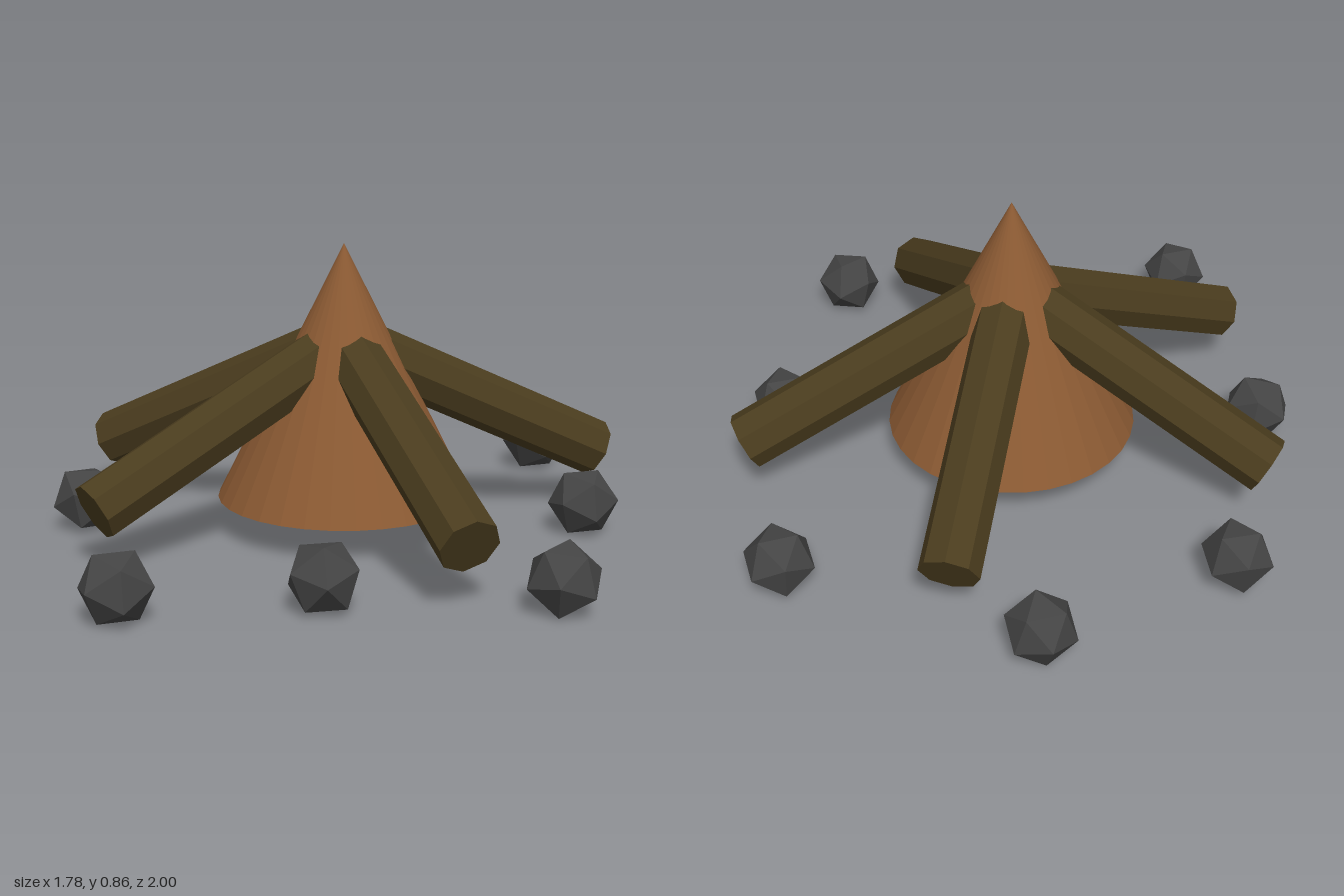
import * as THREE from 'three';

const mat = (name, color) => {
  const m = new THREE.MeshStandardMaterial({ color, flatShading: true });
  m.name = name;
  return m;
};

const CENTRE = [-0.01, 0.005];   // x, z of the fire's middle
const TILT = 0.44;               // slope of every log

// Twenty-sided stone lying with one face up and a corner towards +x
function stoneGeometry(radius) {
  const g = new THREE.IcosahedronGeometry(radius, 0);
  const t = (1 + Math.sqrt(5)) / 2;
  const up = new THREE.Vector3(1, 1, 1).normalize();
  const side = new THREE.Vector3(t, 0, -1).projectOnPlane(up).normalize();
  const front = new THREE.Vector3().crossVectors(side, up);
  return g.applyMatrix4(new THREE.Matrix4().makeBasis(side, up, front).transpose());
}

export function createModel() {
  const model = new THREE.Group();
  model.name = 'campfire';
  const flameMat = mat('orangeBrown', 0x8b5a33);
  const logMat = mat('darkWood', 0x4a3c1e);
  const stoneMat = mat('charcoalGrey', 0x444444);

  // Central cone
  const cone = new THREE.Mesh(new THREE.ConeGeometry(0.38, 0.76, 32), flameMat);
  cone.name = 'centralCone';
  cone.position.set(CENTRE[0], 0.48, CENTRE[1]);
  model.add(cone);

  // Leaning logs: built along +x from the cone to the ground, then turned
  const inner = new THREE.Vector2(0.09, 0.525);
  const outer = new THREE.Vector2(0.825, 0.18);
  const logGeo = new THREE.CylinderGeometry(0.087, 0.087, inner.distanceTo(outer), 8);
  logGeo.rotateZ(Math.PI / 2 - TILT);
  logGeo.translate((inner.x + outer.x) / 2, (inner.y + outer.y) / 2, 0);
  [0, 61.5, 138.2, 197.2, 276.5].forEach((deg, i) => {
    const log = new THREE.Mesh(logGeo, logMat);
    log.name = `log${i + 1}`;
    log.position.set(CENTRE[0], 0, CENTRE[1]);
    log.rotation.y = THREE.MathUtils.degToRad(deg);
    model.add(log);
  });

  // Ring of stones: x, z, turn in degrees, small tilt
  const stoneGeo = stoneGeometry(0.105);
  [
    [-0.43, -0.79, 36, 0.15], [0.18, -0.9, 30, -0.15],
    [0.8, -0.44, 28, 0.2], [-0.76, -0.175, 0, -0.2],
    [0.65, 0.285, 30, 0.15], [-0.8, 0.635, 28, 0.2],
    [-0.275, 0.71, 40, -0.2], [0.315, 0.9, 0, 0.15],
  ].forEach(([x, z, turn, tilt], i) => {
    const stone = new THREE.Mesh(stoneGeo, stoneMat);
    stone.name = `stone${i + 1}`;
    stone.position.set(x, 0.096, z);
    stone.rotation.set(tilt, -THREE.MathUtils.degToRad(turn), 0);
    model.add(stone);
  });

  return model;
}
